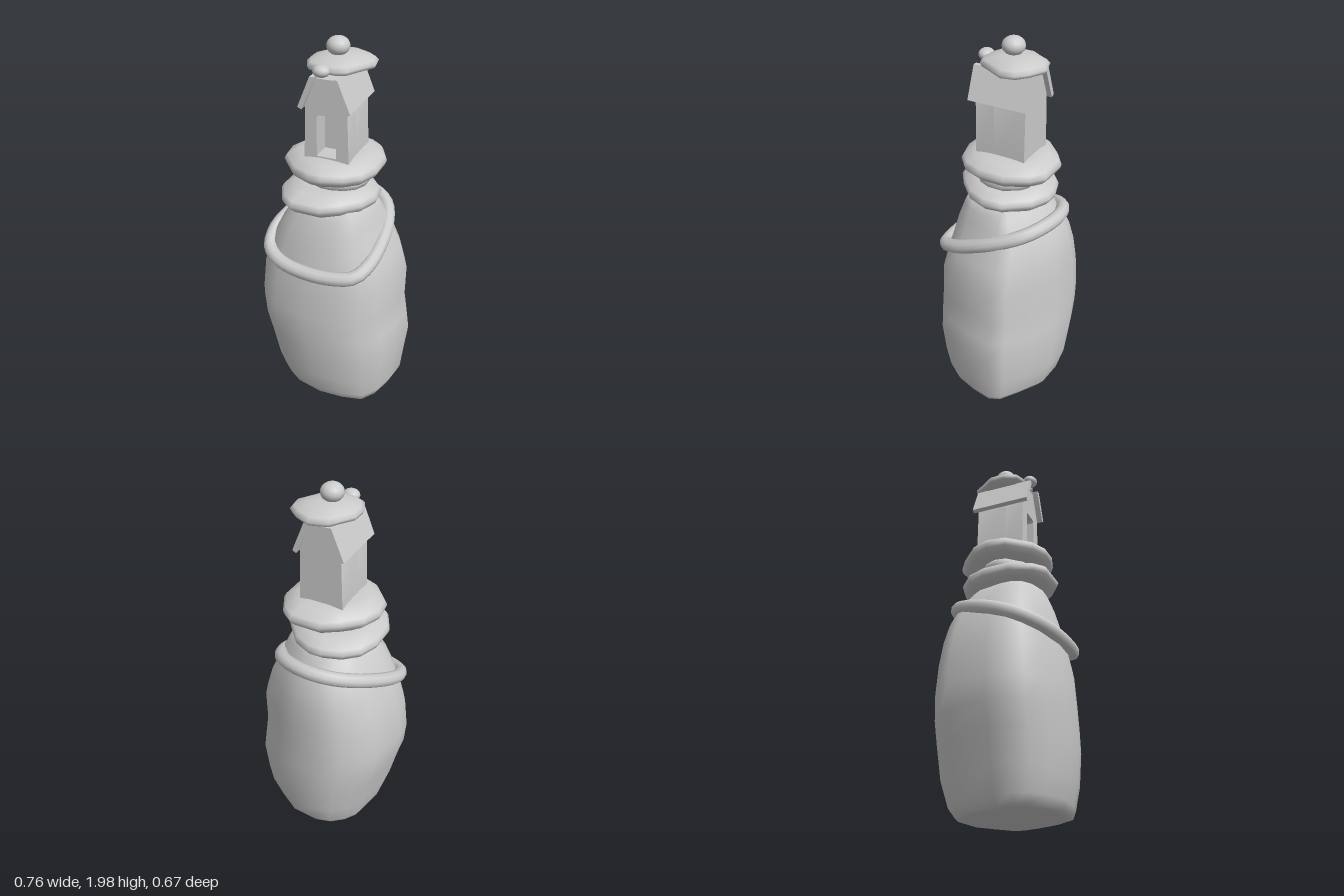
import * as THREE from 'three';
import { toCreasedNormals } from 'three/addons/utils/BufferGeometryUtils.js';

const material = new THREE.MeshStandardMaterial({ color: 0xcccccc });

function mesh(name, geometry, parent) {
  const m = new THREE.Mesh(geometry, material);
  m.name = name;
  parent.add(m);
  return m;
}

// Skins a stone: one [x, z] outline (anticlockwise from above) is fitted
// to the bounds of each row [y, xMin, xMax, zMin, zMax], tilted by tilt(y) along z.
function stone(outline, rows, tilt = () => 0) {
  const xs = outline.map(p => p[0]), zs = outline.map(p => p[1]);
  const fit = (v, list, lo, hi) => {
    const a = Math.min(...list), b = Math.max(...list);
    return lo + (hi - lo) * (v - a) / (b - a);
  };
  const n = outline.length, pos = [], index = [];
  for (const [y, x0, x1, z0, z1] of rows) {
    for (const [px, pz] of outline) {
      const z = fit(pz, zs, z0, z1);
      pos.push(fit(px, xs, x0, x1), y + tilt(y) * z, z);
    }
  }
  const last = rows.length - 1;
  for (let r = 0; r < last; r++) {
    for (let i = 0; i < n; i++) {
      const a = r * n + i, b = r * n + (i + 1) % n;
      index.push(a, b, b + n, a, b + n, a + n);
    }
  }
  for (const r of [0, last]) {
    const [y, x0, x1, z0, z1] = rows[r];
    const c = pos.length / 3, cz = (z0 + z1) / 2;
    pos.push((x0 + x1) / 2, y + tilt(y) * cz, cz);
    for (let i = 0; i < n; i++) {
      const a = r * n + i, b = r * n + (i + 1) % n;
      if (r === 0) index.push(c, b, a); else index.push(c, a, b);
    }
  }
  const g = new THREE.BufferGeometry();
  g.setAttribute('position', new THREE.Float32BufferAttribute(pos, 3));
  g.setIndex(index);
  g.computeVertexNormals();
  return g;
}

// Rows of a flat pebble: [height fraction, inset in x and z]
function pebble(outline, y0, y1, [xa, xb, za, zb], profile, tilt) {
  const rows = profile.map(([t, s]) => {
    const cx = (xa + xb) / 2, cz = (za + zb) / 2, hx = (xb - xa) / 2 * s, hz = (zb - za) / 2 * s;
    return [y0 + (y1 - y0) * t, cx - hx, cx + hx, cz - hz, cz + hz];
  });
  return stone(outline, rows, tilt);
}

export function createModel() {
  const model = new THREE.Group();
  model.name = 'stackedStoneTower';

  // Large upright boulder
  const boulderOutline = [
    [0.38, -0.12], [0.34, -0.19], [0.2, -0.265], [0.05, -0.335], [-0.12, -0.335],
    [-0.22, -0.3], [-0.3, -0.23], [-0.35, -0.15], [-0.383, 0.07], [-0.37, 0.17],
    [-0.32, 0.24], [-0.22, 0.295], [-0.03, 0.325], [0.14, 0.305], [0.28, 0.26], [0.34, 0.16], [0.37, 0.02]];
  const boulderRows = [
    [0.025, -0.22, 0.3, -0.22, 0.24],
    [0.035, -0.25, 0.33, -0.25, 0.265],
    [0.08, -0.27, 0.35, -0.285, 0.28],
    [0.2, -0.305, 0.36, -0.32, 0.31],
    [0.37, -0.345, 0.38, -0.333, 0.322],
    [0.48, -0.375, 0.365, -0.333, 0.326],
    [0.6, -0.385, 0.347, -0.33, 0.326],
    [0.77, -0.37, 0.35, -0.323, 0.31],
    [0.9, -0.335, 0.31, -0.31, 0.285],
    [1.0, -0.295, 0.265, -0.29, 0.262],
    [1.08, -0.255, 0.235, -0.25, 0.24],
    [1.14, -0.215, 0.212, -0.21, 0.215],
    [1.2, -0.17, 0.18, -0.17, 0.19]];
  mesh('boulder', stone(boulderOutline, boulderRows, y => 0.05 * Math.max(0, 1 - y / 0.2)), model);

  // Slanted rope around the shoulder
  const ropePath = [
    [-0.03, 0.303], [0.12, 0.29], [0.215, 0.255], [0.255, 0.17], [0.262, 0.04], [0.24, -0.09],
    [0.18, -0.2], [0.08, -0.257], [-0.04, -0.27], [-0.15, -0.23], [-0.24, -0.13],
    [-0.305, 0.02], [-0.318, 0.12], [-0.285, 0.22], [-0.19, 0.28]]
    .map(([x, z]) => new THREE.Vector3(x, 1.0 - 0.42 * z, z));
  const curve = new THREE.CatmullRomCurve3(ropePath, true);
  mesh('ropeRing', new THREE.TubeGeometry(curve, 48, 0.036, 10, true), model);

  // Three flat stones stacked on the boulder
  const flatOutline = [
    [0.23, 0.03], [0.22, -0.11], [0.15, -0.22], [0.08, -0.265], [-0.08, -0.255], [-0.16, -0.19],
    [-0.24, -0.1], [-0.27, 0], [-0.25, 0.1], [-0.14, 0.21], [-0.04, 0.245], [0.03, 0.24], [0.13, 0.2], [0.2, 0.13]];
  const turned = flatOutline.map(([x, z]) => [-x, -z]);
  const flat = [[0, 0.7], [0.06, 0.88], [0.25, 0.97], [0.45, 1], [0.65, 0.95], [0.9, 0.76], [1, 0.55]];
  mesh('lowerStone', pebble(turned, 1.17, 1.28, [-0.27, 0.22, -0.235, 0.28], flat, () => 0.02), model);
  const round = [[0, 0.8], [0.2, 0.96], [0.5, 1], [0.8, 0.96], [1, 0.8]];
  mesh('middleStone', pebble(flatOutline, 1.27, 1.345, [-0.18, 0.165, -0.16, 0.15], round), model);
  mesh('upperStone', pebble(flatOutline, 1.33, 1.442, [-0.27, 0.225, -0.262, 0.245], flat), model);

  // Little house, turned slightly
  const house = new THREE.Group();
  house.name = 'house';
  house.position.set(-0.01, 0, -0.003);
  house.rotation.y = 0.08;
  model.add(house);

  const gable = () => new THREE.Shape([
    [-0.115, 1.43], [0.115, 1.43], [0.105, 1.72], [0.055, 1.84], [-0.055, 1.84], [-0.105, 1.72]]
    .map(p => new THREE.Vector2(...p)));
  const front = gable();
  front.holes.push(new THREE.Path([[-0.05, 1.45], [-0.048, 1.65], [-0.038, 1.662], [0.038, 1.662], [0.048, 1.65], [0.05, 1.45]]
    .map(p => new THREE.Vector2(...p))));
  const walls = [['frontWall', front, 0.03, 0.1], ['houseBody', gable(), -0.135, 0.165]];
  for (const [name, shape, z, depth] of walls) {
    const g = new THREE.ExtrudeGeometry(shape, { depth, bevelEnabled: false });
    mesh(name, toCreasedNormals(g, 0.5), house).position.z = z;
  }

  // Sloping roof slabs
  for (const side of [-1, 1]) {
    const slab = new THREE.Shape([[0.045, 1.855], [0.068, 1.855], [0.132, 1.7], [0.112, 1.69], [0.05, 1.835]]
      .map(([x, y]) => new THREE.Vector2(side * x, y)));
    const g = new THREE.ExtrudeGeometry(slab, { depth: 0.32, bevelEnabled: false });
    mesh(side > 0 ? 'leftRoofSlab' : 'rightRoofSlab', toCreasedNormals(g, 0.5), house).position.z = -0.16;
  }

  // Cap stone on the roof
  const capOutline = [
    [0.165, -0.06], [0.145, -0.13], [0.09, -0.17], [0, -0.205], [-0.09, -0.17], [-0.11, -0.13],
    [-0.155, -0.05], [-0.15, 0.03], [-0.11, 0.1], [-0.04, 0.12], [0.04, 0.12], [0.09, 0.095], [0.12, 0.03]];
  const dome = [[0, 0.75], [0.15, 0.95], [0.4, 1], [0.65, 0.9], [0.9, 0.6], [1, 0.3]];
  mesh('capStone', pebble(capOutline, 1.852, 1.92, [-0.152, 0.166, -0.203, 0.125], dome), model);

  // Round pebbles on the crown and above the door
  const ball = new THREE.SphereGeometry(1, 16, 12);
  const crown = mesh('crownPebble', ball, model);
  crown.position.set(-0.01, 1.955, -0.018);
  crown.scale.set(0.056, 0.045, 0.056);
  const bead = mesh('doorPebble', ball, model);
  bead.position.set(-0.016, 1.882, 0.138);
  bead.scale.set(0.042, 0.029, 0.038);

  return model;
}
